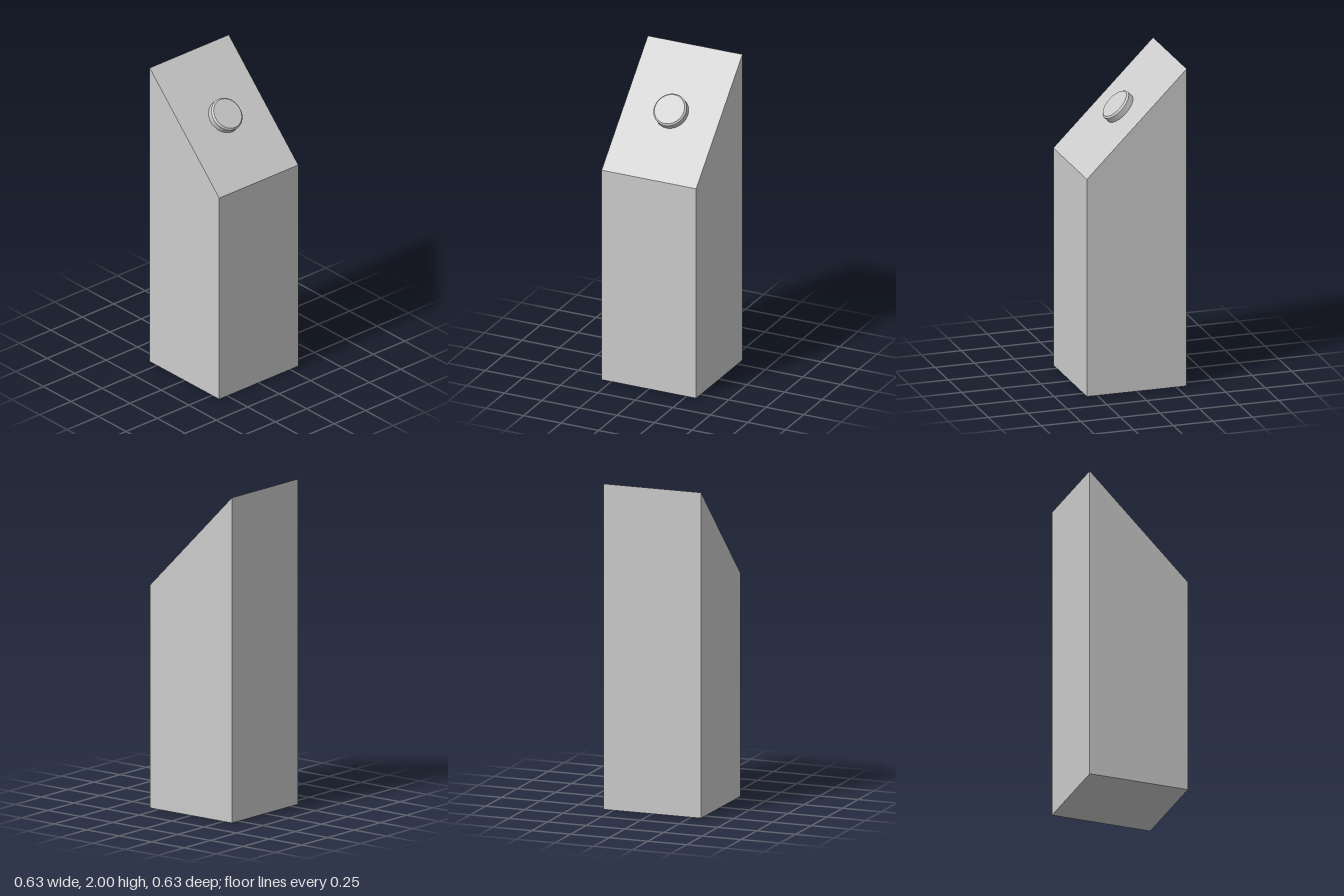
import * as THREE from 'three';
import { toCreasedNormals } from 'three/addons/utils/BufferGeometryUtils.js';

const WIDTH = 0.63, HEIGHT = 2, FRONT_HEIGHT = 1.37;

export function createModel() {
  const group = new THREE.Group();
  const grey = new THREE.MeshStandardMaterial({ color: 0xcccccc });

  // Square pedestal whose top slopes down to the front
  const body = new THREE.BoxGeometry(WIDTH, HEIGHT, WIDTH).translate(0, HEIGHT / 2, 0);
  const pos = body.attributes.position;
  for (let i = 0; i < pos.count; i++) {
    if (pos.getY(i) > 1 && pos.getZ(i) > 0) pos.setY(i, FRONT_HEIGHT);
  }
  body.computeVertexNormals();
  const pedestal = new THREE.Mesh(body, grey);
  pedestal.name = 'pedestal';
  group.add(pedestal);

  // Round push button with a chamfered rim, square to the slope
  const profile = [[0, 0], [0.105, 0], [0.105, 0.038], [0.095, 0.048], [0, 0.048]]
    .map(([r, y]) => new THREE.Vector2(r, y));
  const button = new THREE.Mesh(toCreasedNormals(new THREE.LatheGeometry(profile, 64), Math.PI / 6), grey);
  button.name = 'button';
  button.position.y = (HEIGHT + FRONT_HEIGHT) / 2;
  button.rotation.x = Math.atan2(HEIGHT - FRONT_HEIGHT, WIDTH);
  group.add(button);

  return group;
}
